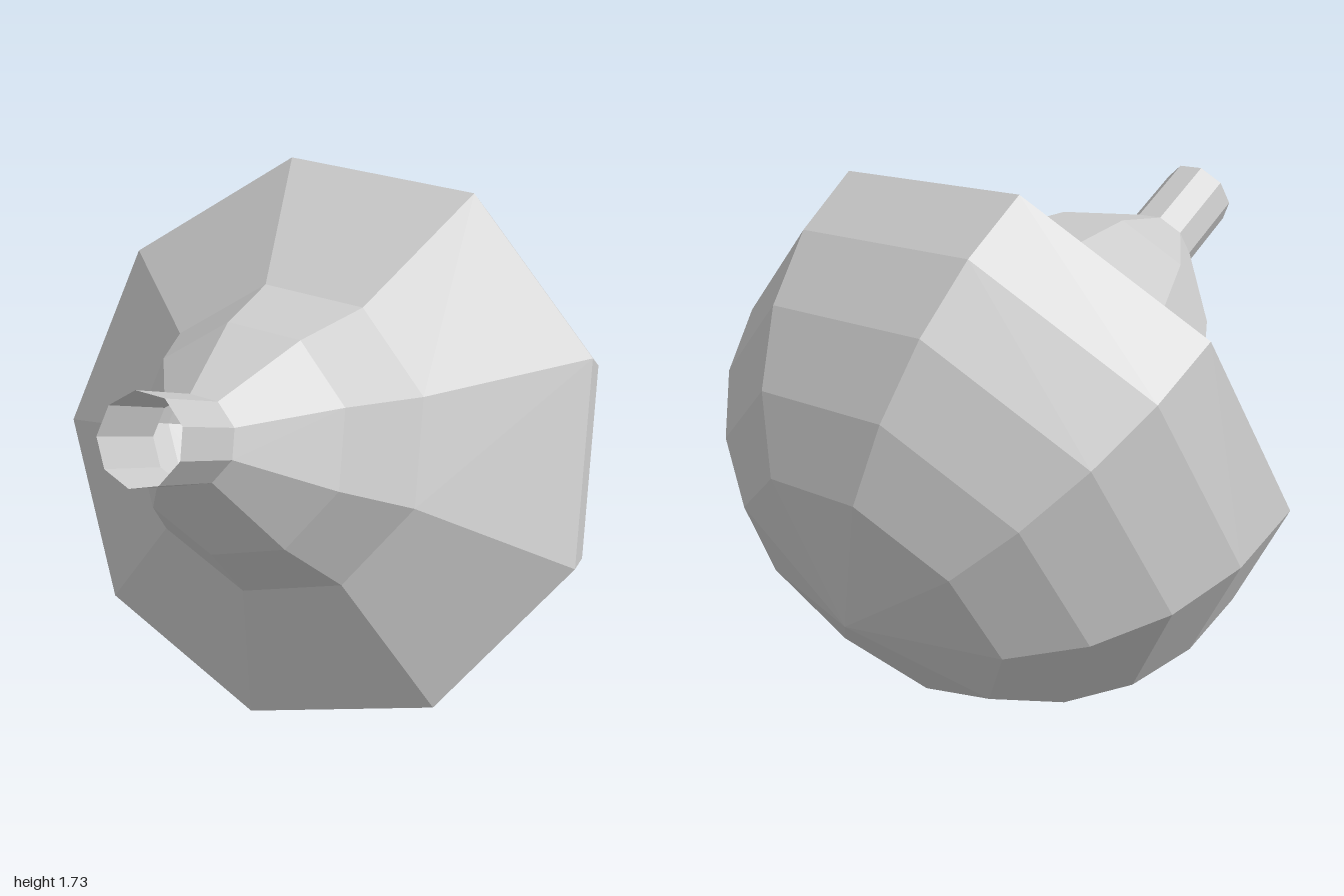
import * as THREE from 'three';

const SIDES = 9;
const RADIUS = 0.925;

export function createModel() {
  const model = new THREE.Group();
  const material = new THREE.MeshStandardMaterial({
    color: 0xcccccc, flatShading: true, side: THREE.DoubleSide,
  });

  // Tilted frame: local y runs from the neck to the dome's pole
  const flask = new THREE.Group();
  flask.name = 'flask';
  const axis = new THREE.Vector3(0.903, -0.402, -0.155).normalize();
  const across = new THREE.Vector3().crossVectors(axis, new THREE.Vector3(0.4, 0.8, 0.32)).normalize();
  const corner = new THREE.Vector3().crossVectors(across, axis);
  flask.quaternion.setFromRotationMatrix(new THREE.Matrix4().makeBasis(across, axis, corner));
  flask.position.set(0.07, 0.92, 0);
  model.add(flask);

  // Each part is a nine-sided turning of [radius, height] points
  const turn = (name, profile) => {
    const points = profile.map(([r, y]) => new THREE.Vector2(r, y));
    const mesh = new THREE.Mesh(new THREE.LatheGeometry(points, SIDES), material);
    mesh.name = name;
    flask.add(mesh);
  };

  // Open neck tube and flared shoulder
  turn('neck', [[0.125, -1.135], [0.125, -0.847]]);
  turn('shoulder', [[0.125, -0.847], [0.34, -0.578], [0.478, -0.295], [RADIUS, 0]]);

  // Half-sphere dome closed by a shallow cone
  turn('dome', [0, 15, 30, 45, 60, 90].map((deg) => {
    const a = THREE.MathUtils.degToRad(deg);
    return [deg === 90 ? 0 : RADIUS * Math.cos(a), RADIUS * Math.sin(a)];
  }));

  return model;
}
